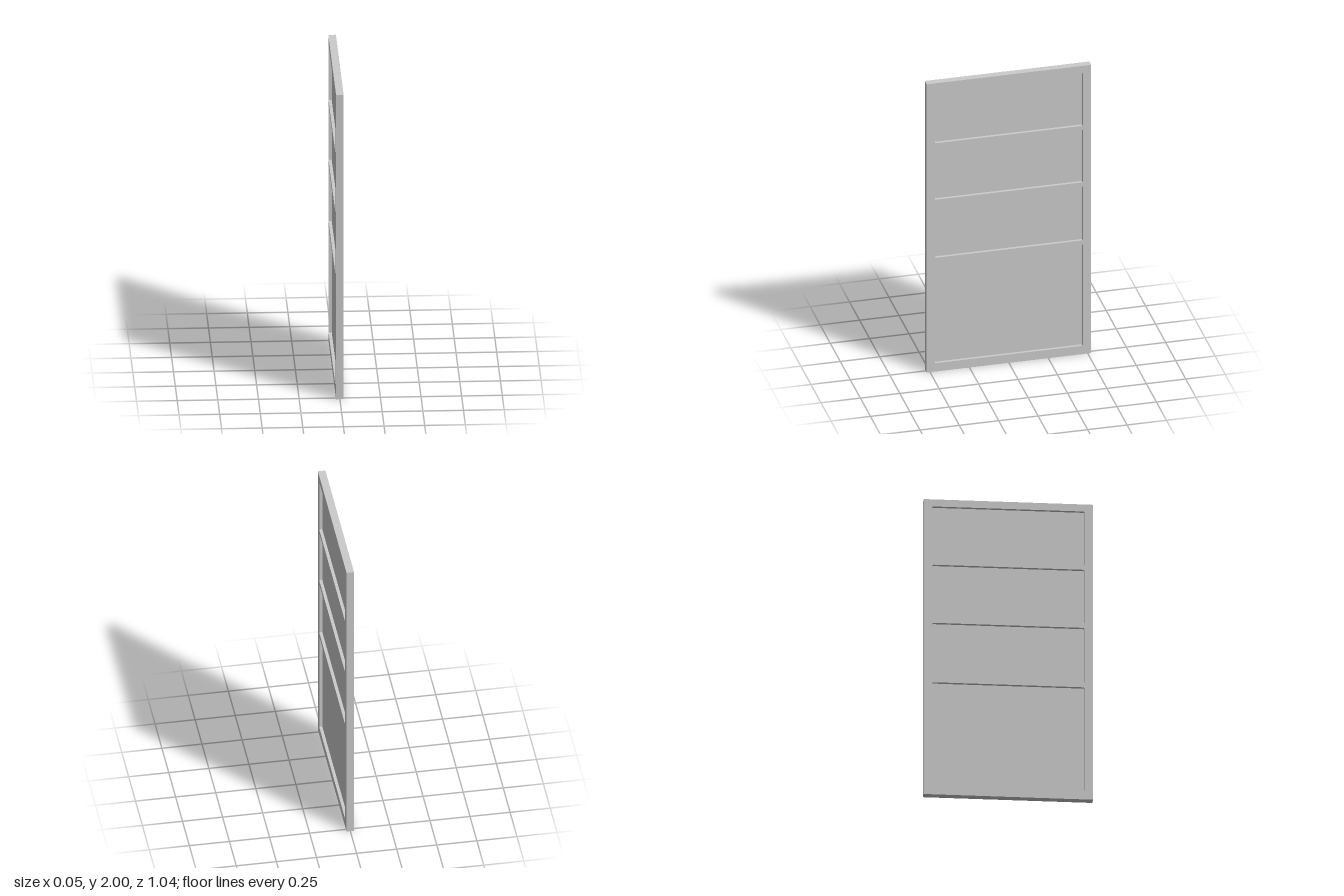
import * as THREE from 'three';

const HALF_WIDTH = 0.522, HEIGHT = 2, THICKNESS = 0.047;
const OPENING_HALF = 0.469, CORNER = 0.008;
const PANEL_THICKNESS = 0.008;
// bottom and top of each panel opening
const OPENINGS = [[0.058, 0.76], [0.789, 1.163], [1.192, 1.557], [1.584, 1.952]];

// rectangle with slightly eased corners
function openingPath(y0, y1) {
  const w = OPENING_HALF, r = CORNER, p = new THREE.Path();
  p.moveTo(-w + r, y0);
  p.lineTo(w - r, y0);
  p.quadraticCurveTo(w, y0, w, y0 + r);
  p.lineTo(w, y1 - r);
  p.quadraticCurveTo(w, y1, w - r, y1);
  p.lineTo(-w + r, y1);
  p.quadraticCurveTo(-w, y1, -w, y1 - r);
  p.lineTo(-w, y0 + r);
  p.quadraticCurveTo(-w, y0, -w + r, y0);
  return p;
}

// extrude a shape, centre its thickness and turn its face towards the sides
function slab(shape, depth) {
  const g = new THREE.ExtrudeGeometry(shape, { depth, bevelEnabled: false, curveSegments: 3 });
  g.translate(0, 0, -depth / 2);
  g.rotateY(Math.PI / 2);
  return g;
}

export function createModel() {
  const group = new THREE.Group();
  group.name = 'panelDoor';
  const material = new THREE.MeshStandardMaterial({ color: 0xcccccc });
  const add = (name, geometry) => {
    const mesh = new THREE.Mesh(geometry, material);
    mesh.name = name;
    group.add(mesh);
  };

  // frame with stiles and rails around four openings
  const frame = new THREE.Shape([
    new THREE.Vector2(-HALF_WIDTH, 0), new THREE.Vector2(HALF_WIDTH, 0),
    new THREE.Vector2(HALF_WIDTH, HEIGHT), new THREE.Vector2(-HALF_WIDTH, HEIGHT),
  ]);
  OPENINGS.forEach(([y0, y1]) => frame.holes.push(openingPath(y0, y1)));
  add('doorFrame', slab(frame, THICKNESS));

  // thin panels recessed on both faces
  OPENINGS.forEach(([y0, y1], i) => {
    const panel = new THREE.Shape(openingPath(y0, y1).getPoints(3));
    add('recessedPanel' + (i + 1), slab(panel, PANEL_THICKNESS));
  });
  return group;
}
